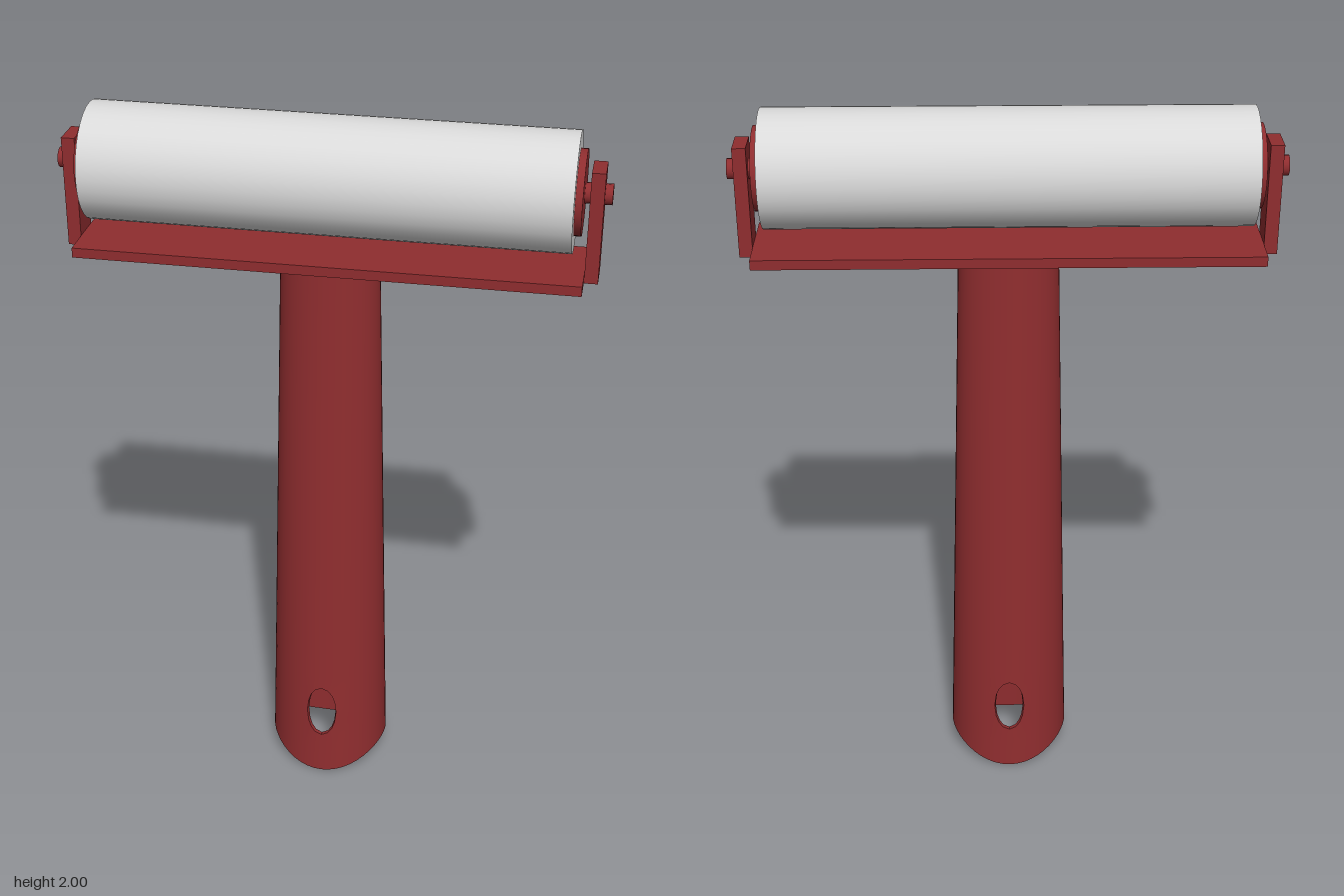
import * as THREE from 'three';
import { toCreasedNormals } from 'three/addons/utils/BufferGeometryUtils.js';

const red = new THREE.MeshStandardMaterial({ color: 0x8f2d2f });
red.name = 'dark red';
const grey = new THREE.MeshStandardMaterial({ color: 0xd9d9d9 });
grey.name = 'light grey';

function add(group, name, geometry, material, x = 0, y = 0, z = 0) {
  const mesh = new THREE.Mesh(geometry, material);
  mesh.name = name;
  mesh.position.set(x, y, z);
  group.add(mesh);
  return mesh;
}

// Cylinder lying along x
const rod = (radius, length, sides) =>
  new THREE.CylinderGeometry(radius, radius, length, sides).rotateZ(Math.PI / 2);

// Hollow tapered oval handle: scooped lower rim, hanging hole through front and back
function handleGeometry() {
  const SEG = 48, HALF = SEG / 2, TOP = 1.615, WALL = 0.012;
  const holeY = 0.212, stepY = 0.0415, stepA = (Math.PI * 2) / SEG;
  const rows = [null, -3, -2, -1, 0, 1, 2, 3].map((k) => (k === null ? null : holeY + k * stepY));
  rows.push(0.7, 1.15, TOP);

  // Column offset from the middle of the front or back face
  const column = (j) => {
    const c = ((j % HALF) + HALF) % HALF;
    return c > HALF / 2 ? c - HALF : c;
  };

  function point(i, j, inset) {
    let a = j * stepA;
    let y = rows[i];
    if (y === null) y = 0.067 * Math.sin(a) ** 2;
    else {
      // Pull the grid near the hole into an oval
      const u = column(j) / 2, v = (i - 4) / 2;
      const m = Math.max(Math.abs(u), Math.abs(v));
      if (m > 0 && m < 1.5) {
        const round = m / Math.hypot(u, v);
        const s = m <= 1 ? round : THREE.MathUtils.lerp(round, 1, (m - 1) / 0.5);
        a += u * (s - 1) * 2 * stepA;
        y += v * (s - 1) * 2 * stepY;
      }
    }
    const t = y / TOP;
    const rx = THREE.MathUtils.lerp(0.172, 0.134, t) - inset;
    const rz = THREE.MathUtils.lerp(0.152, 0.094, t) - inset;
    return [rx * Math.sin(a), y, rz * Math.cos(a)];
  }

  const isHole = (i, j) => {
    const c = column(j);
    return i >= 2 && i < 6 && c >= -2 && c < 2;
  };

  const pos = [];
  const quad = (a, b, c, d) => pos.push(...a, ...b, ...c, ...a, ...c, ...d);
  // Edge wall joining the outer and inner skins
  const wall = (i0, j0, i1, j1) =>
    quad(point(i1, j1, 0), point(i0, j0, 0), point(i0, j0, WALL), point(i1, j1, WALL));

  for (let i = 0; i < rows.length - 1; i++) {
    for (let j = 0; j < SEG; j++) {
      if (isHole(i, j)) continue;
      const p = (inset) => [point(i, j, inset), point(i, j + 1, inset),
        point(i + 1, j + 1, inset), point(i + 1, j, inset)];
      quad(...p(0));
      quad(...p(WALL).reverse());
      if (i === 0 || isHole(i - 1, j)) wall(i, j, i, j + 1);
      if (isHole(i, j + 1)) wall(i, j + 1, i + 1, j + 1);
      if (isHole(i + 1, j)) wall(i + 1, j + 1, i + 1, j);
      if (isHole(i, j - 1)) wall(i + 1, j, i, j);
    }
  }
  const geometry = new THREE.BufferGeometry();
  geometry.setAttribute('position', new THREE.Float32BufferAttribute(pos, 3));
  return toCreasedNormals(geometry, 0.6);
}

export function createModel() {
  const model = new THREE.Group();
  model.name = 'handRoller';
  const axisY = 1.843;

  add(model, 'rollerSleeve', rod(0.157, 1.274, 32), grey, 0, axisY);
  add(model, 'handle', handleGeometry(), red);
  add(model, 'framePlate', new THREE.BoxGeometry(1.342, 0.027, 0.258), red, 0, 1.6265);

  // Upright arms, roller end caps and axle ends
  for (const side of [-1, 1]) {
    const prefix = side > 0 ? 'left' : 'right';
    add(model, prefix + 'Arm', new THREE.BoxGeometry(0.036, 0.3, 0.09), red, side * 0.689, 1.763);
    add(model, prefix + 'EndCap', rod(0.111, 0.02, 32), red, side * 0.646, axisY);
    add(model, prefix + 'Axle', rod(0.027, 0.08, 16), red, side * 0.687, axisY);
  }
  return model;
}
